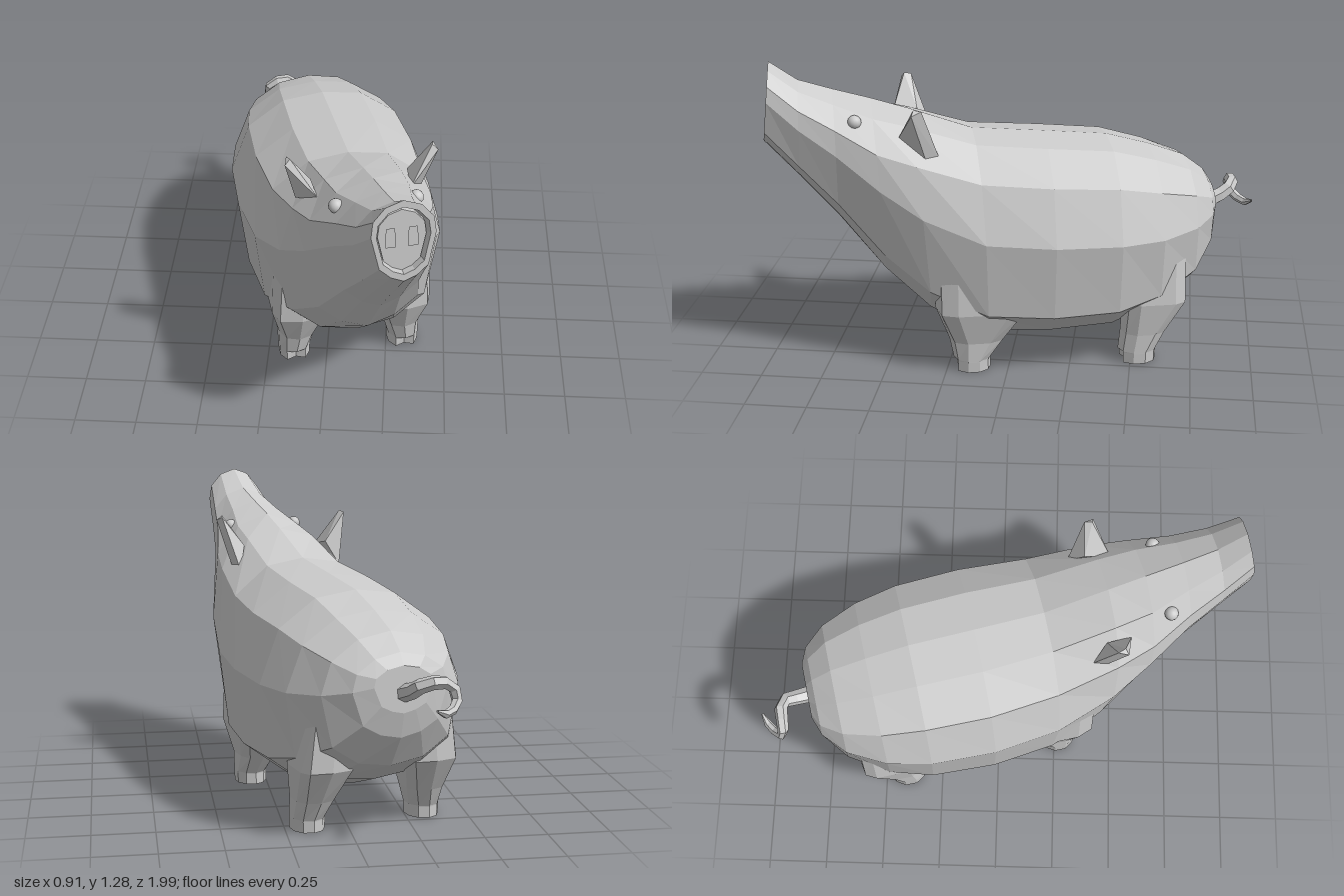
import * as THREE from 'three';
import { ConvexGeometry } from 'three/addons/geometries/ConvexGeometry.js';

const flat = new THREE.MeshStandardMaterial({ color: 0xcccccc, flatShading: true });
const thin = new THREE.MeshStandardMaterial({ color: 0xcccccc, flatShading: true, side: THREE.DoubleSide });
const smooth = new THREE.MeshStandardMaterial({ color: 0xcccccc });
const lerp = THREE.MathUtils.lerp;

function add(parent, name, geometry, material = flat) {
  const mesh = new THREE.Mesh(geometry, material);
  mesh.name = name;
  parent.add(mesh);
  return mesh;
}

function centre(ring) {
  return ring.reduce((s, p) => s.add(p), new THREE.Vector3()).divideScalar(ring.length);
}

// Skin closed rings of Vector3 and cap both ends
function loft(rings) {
  const n = rings[0].length, pos = [], idx = [];
  rings.forEach(r => r.forEach(p => pos.push(p.x, p.y, p.z)));
  for (let i = 0; i < rings.length - 1; i++) {
    for (let j = 0; j < n; j++) {
      const a = i * n + j, b = i * n + (j + 1) % n;
      idx.push(a, a + n, b, b, a + n, b + n);
    }
  }
  [0, rings.length - 1].forEach((r, end) => {
    const c = centre(rings[r]), k = pos.length / 3;
    pos.push(c.x, c.y, c.z);
    for (let j = 0; j < n; j++) {
      const a = r * n + j, b = r * n + (j + 1) % n;
      if (end) idx.push(k, b, a); else idx.push(k, a, b);
    }
  });
  const g = new THREE.BufferGeometry();
  g.setAttribute('position', new THREE.Float32BufferAttribute(pos, 3));
  g.setIndex(idx);
  g.computeVertexNormals();
  return g;
}

// Half cross-sections: [width fraction, fraction of the way down]
const TORSO = [[0, 0], [0.42, 0.03], [0.8, 0.17], [1, 0.44], [0.91, 0.82], [0.52, 0.97], [0, 1]];
const SNOUT = [[0, 0], [0.55, 0.07], [0.93, 0.23], [1, 0.42], [0.76, 0.82], [0.4, 0.94], [0, 1]];

function section(s) {
  const half = TORSO.map((p, i) => [lerp(p[0], SNOUT[i][0], s), lerp(p[1], SNOUT[i][1], s)]);
  return [...half, ...half.slice(1, -1).reverse().map(([a, t]) => [-a, t])];
}

// Stations: top z, top y, bottom z, bottom y, half width, section blend
const STATIONS = [
  [-0.815, 0.70, -0.825, 0.52, 0.12, 1],
  [-0.785, 0.745, -0.80, 0.42, 0.195, 0.8],
  [-0.70, 0.81, -0.715, 0.29, 0.285, 0.4],
  [-0.55, 0.865, -0.55, 0.19, 0.365, 0.1],
  [-0.37, 0.915, -0.37, 0.125, 0.405, 0],
  [-0.10, 0.94, -0.10, 0.11, 0.415, 0],
  [0.19, 0.965, 0.16, 0.12, 0.385, 0],
  [0.45, 1.06, 0.38, 0.21, 0.325, 0.35],
  [0.60, 1.11, 0.56, 0.37, 0.26, 0.9],
  [0.75, 1.155, 0.745, 0.62, 0.19, 1],
  [0.885, 1.2, 0.895, 0.80, 0.148, 1],
  [0.995, 1.28, 1.03, 0.955, 0.117, 1],
];
const PLATE_SCALE = 0.75;
const RECESS = new THREE.Vector3(0, -0.018, -0.055);

function bodyGeometry() {
  const rings = STATIONS.map(([zt, yt, zb, yb, w, s]) => section(s).map(([a, t]) => {
    const z = lerp(zt, zb, t);
    return new THREE.Vector3(a * w + 0.03 * Math.max(0, z) ** 2, lerp(yt, yb, t), z);
  }));
  // Snout rim, then the recess behind it
  const rim = rings[rings.length - 1], c = centre(rim);
  const scaled = k => rim.map(p => p.clone().sub(c).multiplyScalar(k).add(c));
  rings.push(scaled(0.83), scaled(PLATE_SCALE).map(p => p.add(RECESS)));
  return loft(rings);
}

// Leg levels: y, x, z, x radius, z radius, depth of the toe cleft, roundness
const FRONT_LEG = [
  [0, 0.237, 0.222, 0.066, 0.076, 0.4, 1], [0.045, 0.237, 0.222, 0.068, 0.076, 0.35, 1],
  [0.05, 0.237, 0.222, 0.068, 0.077, 0, 1], [0.13, 0.226, 0.2, 0.08, 0.115, 0, 0.8],
  [0.27, 0.222, 0.18, 0.118, 0.19, 0, 0.5], [0.5, 0.2, 0.18, 0.13, 0.19, 0, 0.5],
];
const REAR_LEG = [
  [0, 0.248, -0.47, 0.068, 0.08, 0.4, 1], [0.045, 0.248, -0.47, 0.07, 0.08, 0.35, 1],
  [0.05, 0.248, -0.47, 0.07, 0.081, 0, 1], [0.13, 0.235, -0.495, 0.084, 0.095, 0, 0.8],
  [0.27, 0.22, -0.54, 0.113, 0.13, 0, 0.5], [0.5, 0.2, -0.54, 0.105, 0.13, 0, 0.5],
];

function legGeometry(levels, side) {
  const soft = (v, p) => Math.sign(v) * Math.abs(v) ** p;
  return loft(levels.map(([y, x, z, rx, rz, cleft, p]) => Array.from({ length: 10 }, (_, j) => {
    const a = j / 10 * Math.PI * 2, k = j === 0 ? 1 - cleft : 1;
    return new THREE.Vector3(side * x - soft(Math.sin(a), p) * rx, y, z + soft(Math.cos(a), p) * rz * k);
  })));
}

// Flat disc with two nostril holes
function snoutPlate() {
  const shape = new THREE.Shape(section(1).map(([a, t]) =>
    new THREE.Vector2(a * 0.117, (0.5 - t) * 0.327).multiplyScalar(PLATE_SCALE)));
  [-0.041, 0.041].forEach(x => {
    const w = 0.018, h = 0.037;
    shape.holes.push(new THREE.Path([[-w, -h], [-w * 0.8, h], [w * 0.8, h], [w, -h]]
      .map(([px, py]) => new THREE.Vector2(x + px, py + 0.012))));
  });
  return new THREE.ExtrudeGeometry(shape, { depth: 0.026, bevelEnabled: false });
}

function tailGeometry() {
  const curve = new THREE.CatmullRomCurve3([
    [-0.155, 0.585, -0.77], [-0.195, 0.62, -0.86], [-0.225, 0.65, -0.9], [-0.32, 0.645, -0.89],
    [-0.345, 0.59, -0.895], [-0.3, 0.55, -0.955], [-0.25, 0.57, -0.99],
  ].map(p => new THREE.Vector3(...p)));
  const segs = 10, sides = 6;
  const g = new THREE.TubeGeometry(curve, segs, 0.036, sides);
  const pos = g.attributes.position, v = new THREE.Vector3();
  // Taper towards the tip
  for (let i = 0; i < pos.count; i++) {
    const t = Math.floor(i / (sides + 1)) / segs, c = curve.getPointAt(t);
    v.fromBufferAttribute(pos, i).sub(c).multiplyScalar(t === 1 ? 0.15 : lerp(1, 0.4, t)).add(c);
    pos.setXYZ(i, v.x, v.y, v.z);
  }
  return g;
}

export function createModel() {
  const model = new THREE.Group();
  model.name = 'pig';

  // The animal stands turned slightly to its left
  const animal = new THREE.Group();
  animal.name = 'animal';
  animal.rotation.y = THREE.MathUtils.degToRad(14);
  animal.position.set(0.034, 0, -0.0085);
  model.add(animal);

  add(animal, 'body', bodyGeometry());

  const plate = add(animal, 'snoutPlate', snoutPlate());
  plate.position.set(0.031, 1.1175, 1.0125).add(RECESS);
  plate.rotation.x = -0.107;

  for (const side of [1, -1]) {
    const label = side > 0 ? 'left' : 'right';
    add(animal, label + 'FrontLeg', legGeometry(FRONT_LEG, side));
    add(animal, label + 'RearLeg', legGeometry(REAR_LEG, side));

    // Wedge with a broad base and a blunt tip
    const ear = [
      [0.23, 0.905, 0.34], [0.18, 0.98, 0.505], [0.19, 1.0, 0.4], [0.25, 0.92, 0.4],
      [0.297, 1.11, 0.455], [0.275, 1.13, 0.445], [0.285, 1.125, 0.415],
    ].map(([x, y, z]) => new THREE.Vector3(side * x, y, z));
    add(animal, label + 'Ear', new ConvexGeometry(ear));

    const eye = add(animal, label + 'Eye', new THREE.SphereGeometry(0.028, 14, 10), smooth);
    eye.position.set(side * 0.152 + 0.008, 1.055, 0.67);
  }

  add(model, 'tail', tailGeometry(), thin);
  return model;
}
